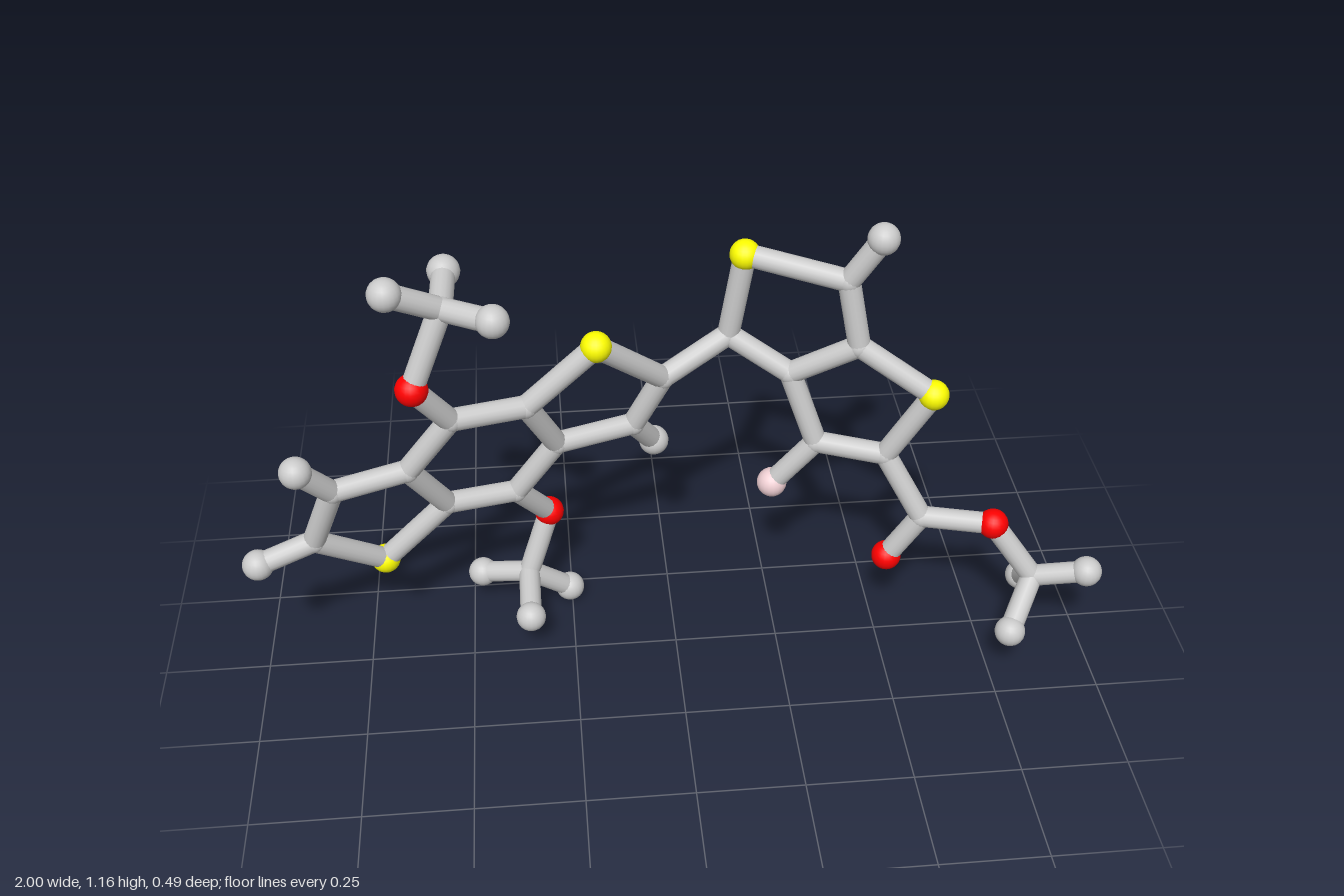
import * as THREE from 'three';

const BOND_R = 0.026;
const gray = new THREE.MeshStandardMaterial({ color: 0xcccccc });
const paint = (color) => new THREE.MeshStandardMaterial({ color });

// Ball styles: joint carbons are flush with the sticks, the others bulge.
const balls = {
  carbon: { r: 0.0275, material: gray },
  end: { r: 0.036, material: gray },
  sulfur: { r: 0.035, material: paint(0xffff00) },
  oxygen: { r: 0.036, material: paint(0xff0000) },
  fluorine: { r: 0.036, material: paint(0xf0d0d4) },
};
for (const b of Object.values(balls)) b.geometry = new THREE.SphereGeometry(b.r, 20, 14);
const stick = new THREE.CylinderGeometry(BOND_R, BOND_R, 1, 16, 1, true);

// The two ring systems are flat: depth follows from x and y.
const corePlane = (x, y) => -0.366 - 0.31 * x + 0.34 * y;
const sidePlane = (x, y) => -0.22 + 0.382 * x;

// Each entry is [ball, x, y] on its plane, or [ball, x, y, z] off it.
const parts = [
  {
    name: 'threeRingCore', plane: corePlane,
    atoms: {
      c1: ['carbon', -0.773, 0.59], c2: ['carbon', -0.837, 0.42], s1: ['sulfur', -0.692, 0.277],
      c3: ['carbon', -0.607, 0.60], c4: ['carbon', -0.532, 0.441], c5: ['carbon', -0.50, 0.745],
      c6: ['carbon', -0.372, 0.42], c7: ['carbon', -0.27, 0.57], c8: ['carbon', -0.334, 0.73],
      s2: ['sulfur', -0.174, 0.88], c9: ['carbon', -0.088, 0.572], c10: ['carbon', -0.02, 0.72],
      h1: ['end', -0.835, 0.688], h2: ['end', -0.966, 0.382], h3: ['end', -0.035, 0.474, -0.207],
    },
    bonds: 'c1-c2 c2-s1 s1-c4 c4-c3 c3-c1 c3-c5 c5-c8 c8-c7 c7-c6 c6-c4 c8-s2 s2-c10 c10-c9 c9-c7 c1-h1 c2-h2 c9-h3',
  },
  {
    name: 'upperMethoxy',
    atoms: {
      o1: ['oxygen', -0.57, 0.87, 0.1], m1: ['carbon', -0.495, 1.048, 0.07],
      h4: ['end', -0.60, 1.122, 0.125], h5: ['end', -0.388, 1.056, 0.14], h6: ['end', -0.49, 1.06, -0.063],
    },
    bonds: 'c5-o1 o1-m1 m1-h4 m1-h5 m1-h6',
  },
  {
    name: 'lowerMethoxy',
    atoms: {
      o2: ['oxygen', -0.297, 0.29, -0.185], m2: ['carbon', -0.355, 0.13, -0.148],
      h7: ['end', -0.473, 0.094, -0.198], h8: ['end', -0.255, 0.037, -0.187], h9: ['end', -0.355, 0.113, 0.002],
    },
    bonds: 'c6-o2 o2-m2 m2-h7 m2-h8 m2-h9',
  },
  {
    name: 'twoRingSide', plane: sidePlane,
    atoms: {
      d1: ['carbon', 0.136, 0.794], s3: ['sulfur', 0.168, 1.01], d2: ['carbon', 0.388, 0.98],
      d3: ['carbon', 0.42, 0.815], d4: ['carbon', 0.275, 0.714], s4: ['sulfur', 0.586, 0.714],
      d5: ['carbon', 0.495, 0.527], d6: ['carbon', 0.34, 0.53],
      h10: ['end', 0.452, 1.096], f: ['fluorine', 0.243, 0.397, -0.114],
    },
    bonds: 'c10-d1 d1-s3 s3-d2 d2-d3 d3-d4 d4-d1 d3-s4 s4-d5 d5-d6 d6-d4 d2-h10 d6-f',
  },
  {
    name: 'esterTail',
    atoms: {
      e1: ['carbon', 0.586, 0.366, 0.012], o3: ['oxygen', 0.516, 0.232, -0.01],
      o4: ['oxygen', 0.746, 0.377, 0.068], m3: ['carbon', 0.848, 0.238, 0.104],
      h11: ['end', 0.963, 0.28, 0.148], h12: ['end', 0.778, 0.158, 0.207], h13: ['end', 0.856, 0.152, 0.003],
    },
    bonds: 'd5-e1 e1-o3 e1-o4 o4-m3 m3-h11 m3-h12 m3-h13',
  },
];

// Stick stretched between two points.
function makeBond(a, b) {
  const dir = b.clone().sub(a);
  const mesh = new THREE.Mesh(stick, gray);
  mesh.name = 'bond';
  mesh.position.copy(a).addScaledVector(dir, 0.5);
  mesh.scale.y = dir.length();
  mesh.quaternion.setFromUnitVectors(new THREE.Vector3(0, 1, 0), dir.normalize());
  return mesh;
}

export function createModel() {
  const model = new THREE.Group();
  model.name = 'ballAndStickMolecule';
  const at = {};
  for (const { name, plane, atoms, bonds } of parts) {
    const group = new THREE.Group();
    group.name = name;
    // Balls
    for (const [id, [kind, x, y, z]] of Object.entries(atoms)) {
      at[id] = new THREE.Vector3(x, y, z ?? plane(x, y));
      const ball = new THREE.Mesh(balls[kind].geometry, balls[kind].material);
      ball.name = kind + 'Ball';
      ball.position.copy(at[id]);
      group.add(ball);
    }
    // Sticks
    for (const pair of bonds.split(' ')) {
      const [a, b] = pair.split('-');
      group.add(makeBond(at[a], at[b]));
    }
    model.add(group);
  }
  return model;
}
